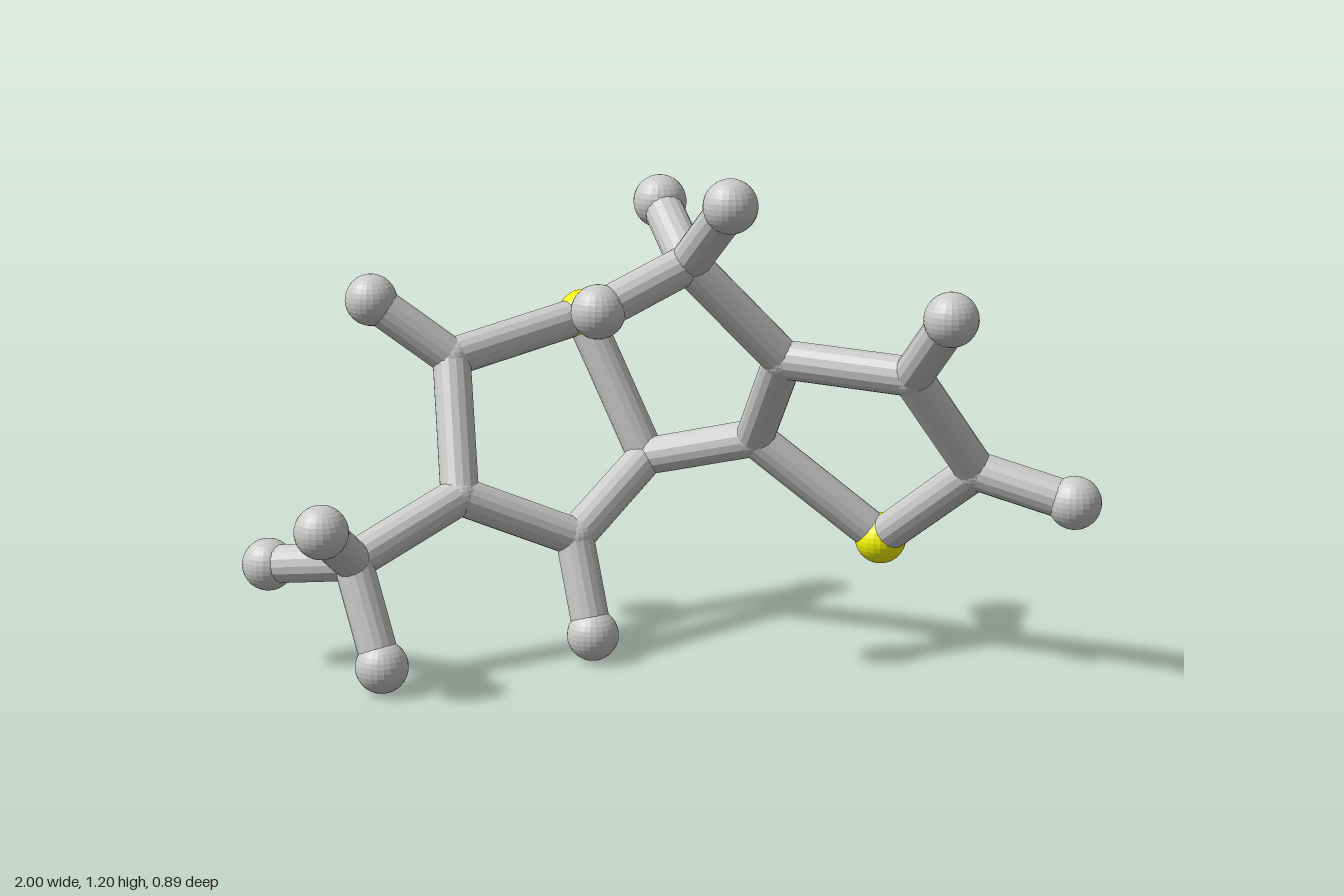
import * as THREE from 'three';

const STICK = 0.046, JOINT = 0.048, BALL = 0.062;

// atom centres: c = carbon joint, h = end ball, s = yellow ball
const atoms = {
  // left ring
  s1: [-0.25, 0.775, -0.385], c2: [-0.09, 0.435, -0.33], c3: [-0.24, 0.29, -0.10],
  c4: [-0.50, 0.41, -0.005], c5: [-0.54, 0.71, -0.16],
  h3: [-0.19, 0.067, -0.037], h5: [-0.725, 0.853, -0.127],
  // left methyl
  c6: [-0.72, 0.30, 0.19],
  h6a: [-0.942, 0.258, 0.088], h6b: [-0.75, 0.422, 0.385], h6c: [-0.645, 0.068, 0.255],
  // right ring
  s11: [0.487, 0.275, -0.215], c12: [0.183, 0.52, -0.195], c13: [0.26, 0.755, 0.0],
  c14: [0.557, 0.74, 0.09], c15: [0.708, 0.50, -0.005],
  h14: [0.643, 0.905, 0.248], h15: [0.935, 0.442, 0.048],
  // right methyl
  c16: [0.047, 0.99, 0.077],
  h16a: [-0.035, 1.103, -0.105], h16b: [0.153, 1.147, 0.232], h16c: [-0.145, 0.90, 0.205],
};

const bonds = [
  's1 c2', 'c2 c3', 'c3 c4', 'c4 c5', 'c5 s1', 'c3 h3', 'c5 h5',
  'c4 c6', 'c6 h6a', 'c6 h6b', 'c6 h6c',
  'c2 c12',
  's11 c12', 'c12 c13', 'c13 c14', 'c14 c15', 'c15 s11', 'c14 h14', 'c15 h15',
  'c13 c16', 'c16 h16a', 'c16 h16b', 'c16 h16c',
];

export function createModel() {
  const model = new THREE.Group();
  model.name = 'molecule';
  const grey = new THREE.MeshStandardMaterial({ color: 0xcccccc, flatShading: true });
  const yellow = new THREE.MeshStandardMaterial({ color: 0xffff00, flatShading: true });

  const jointGeo = new THREE.SphereGeometry(JOINT, 20, 14);
  const ballGeo = new THREE.SphereGeometry(BALL, 24, 16);
  const stickGeo = new THREE.CylinderGeometry(STICK, STICK, 1, 16);

  // balls and joints
  const kinds = {
    c: ['carbonJoint', jointGeo, grey],
    h: ['hydrogenBall', ballGeo, grey],
    s: ['sulfurBall', ballGeo, yellow],
  };
  for (const [id, p] of Object.entries(atoms)) {
    const [name, geo, mat] = kinds[id[0]];
    const mesh = new THREE.Mesh(geo, mat);
    mesh.name = name;
    mesh.position.set(...p);
    model.add(mesh);
  }

  // sticks between them
  const up = new THREE.Vector3(0, 1, 0);
  for (const bond of bonds) {
    const [a, b] = bond.split(' ').map((id) => new THREE.Vector3(...atoms[id]));
    const dir = b.clone().sub(a);
    const stick = new THREE.Mesh(stickGeo, grey);
    stick.name = 'bondStick';
    stick.position.copy(a).add(b).multiplyScalar(0.5);
    stick.scale.y = dir.length();
    stick.quaternion.setFromUnitVectors(up, dir.normalize());
    model.add(stick);
  }
  return model;
}
